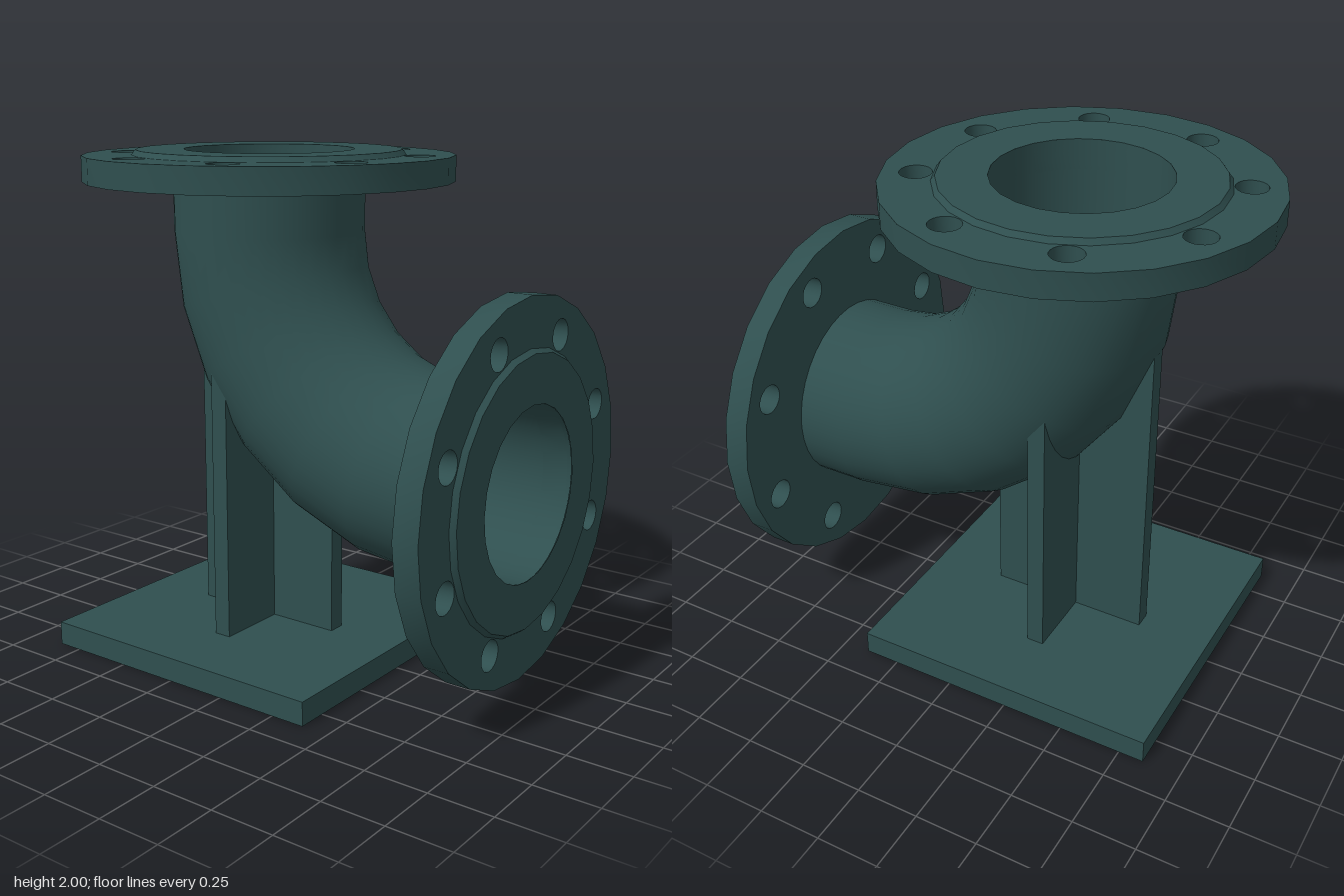
import * as THREE from 'three';
import { toCreasedNormals } from 'three/addons/utils/BufferGeometryUtils.js';

const material = new THREE.MeshStandardMaterial({ color: 0x2f4f4f });
const BEND = { x: 0.64, y: 1.69, r: 0.87 }; // centre and radius of the elbow
const AXIS_X = BEND.x - BEND.r, AXIS_Y = BEND.y - BEND.r;

function add(parent, name, geometry) {
  const mesh = new THREE.Mesh(geometry, material);
  mesh.name = name;
  parent.add(mesh);
  return mesh;
}

// Round wall swept down, around the bend and out along +x
function elbowWall(radius, topY, endX, inward) {
  const sides = 36, steps = 6;
  const sections = [[Math.PI, AXIS_X, topY]];
  for (let i = 0; i <= steps; i++) {
    const t = Math.PI * (1 + i / steps / 2);
    sections.push([t, BEND.x + BEND.r * Math.cos(t), BEND.y + BEND.r * Math.sin(t)]);
  }
  sections.push([Math.PI * 1.5, endX, AXIS_Y]);

  const positions = [], normals = [], index = [];
  const sign = inward ? -1 : 1;
  sections.forEach(([t, cx, cy], i) => {
    for (let j = 0; j <= sides; j++) {
      const a = (j / sides) * Math.PI * 2;
      const nx = Math.cos(a) * Math.cos(t), ny = Math.cos(a) * Math.sin(t), nz = Math.sin(a);
      positions.push(cx + radius * nx, cy + radius * ny, radius * nz);
      normals.push(sign * nx, sign * ny, sign * nz);
      if (i === 0 || j === 0) continue;
      const d = i * (sides + 1) + j, c = d - 1, b = d - sides - 1, e = b - 1;
      if (inward) index.push(e, b, c, b, d, c);
      else index.push(e, c, b, b, c, d);
    }
  });
  const g = new THREE.BufferGeometry();
  g.setAttribute('position', new THREE.Float32BufferAttribute(positions, 3));
  g.setAttribute('normal', new THREE.Float32BufferAttribute(normals, 3));
  g.setIndex(index);
  return g;
}

function circlePoints(cx, cy, r, n) {
  return Array.from({ length: n }, (_, i) => {
    const a = (i / n) * Math.PI * 2;
    return new THREE.Vector2(cx + r * Math.cos(a), cy + r * Math.sin(a));
  });
}

// Bolted flange facing +z, back face at z = 0
function flange(name) {
  const group = new THREE.Group();
  group.name = name;
  const shape = new THREE.Shape(circlePoints(0, 0, 0.72, 24));
  shape.holes.push(new THREE.Path(circlePoints(0, 0, 0.33, 36)));
  for (let i = 0; i < 8; i++) {
    const a = ((i + 0.5) / 8) * Math.PI * 2;
    shape.holes.push(new THREE.Path(circlePoints(0.59 * Math.cos(a), 0.59 * Math.sin(a), 0.06, 20)));
  }
  const disc = new THREE.ExtrudeGeometry(shape, { depth: 0.1, bevelEnabled: false });
  add(group, 'boltDisc', toCreasedNormals(disc, 0.5));

  // Raised sealing face with a chamfered rim
  const profile = [[0.53, 0], [0.515, 0.02], [0.33, 0.02]].map(p => new THREE.Vector2(...p));
  const face = toCreasedNormals(new THREE.LatheGeometry(profile, 24), 0.5);
  add(group, 'raisedFace', face.rotateX(Math.PI / 2).translate(0, 0, 0.1));
  return group;
}

// Upright plate whose top edge follows the underside of the elbow
function rib(width, depth) {
  const g = new THREE.BoxGeometry(width, 1, depth, 12, 1, 12);
  g.translate(AXIS_X, 0, 0);
  const p = g.attributes.position;
  for (let i = 0; i < p.count; i++) {
    const dx = BEND.x - p.getX(i), z = p.getZ(i);
    const rho = BEND.r + Math.sqrt(0.345 ** 2 - z * z);
    p.setY(i, p.getY(i) > 0 ? BEND.y - Math.sqrt(rho * rho - dx * dx) : 0.09);
  }
  g.computeVertexNormals();
  return g;
}

export function createModel() {
  const model = new THREE.Group();
  model.name = 'pipeElbowOnStand';

  // Pipe
  add(model, 'elbowOuterWall', elbowWall(0.373, 1.9, 0.85, false));
  add(model, 'elbowBore', elbowWall(0.33, 2, 0.945, true));

  // Flanges
  const top = flange('topFlange');
  top.rotation.x = -Math.PI / 2;
  top.position.set(AXIS_X, 1.88, 0);
  const side = flange('sideFlange');
  side.rotation.y = Math.PI / 2;
  side.position.set(0.827, AXIS_Y, 0);
  model.add(top, side);

  // Stand: base plate and crossed ribs
  add(model, 'basePlate', new THREE.BoxGeometry(1.24, 0.095, 1.24)).position.set(AXIS_X, 0.0475, 0);
  add(model, 'lengthwiseRib', rib(0.655, 0.07));
  add(model, 'crosswiseRib', rib(0.07, 0.655));
  return model;
}
